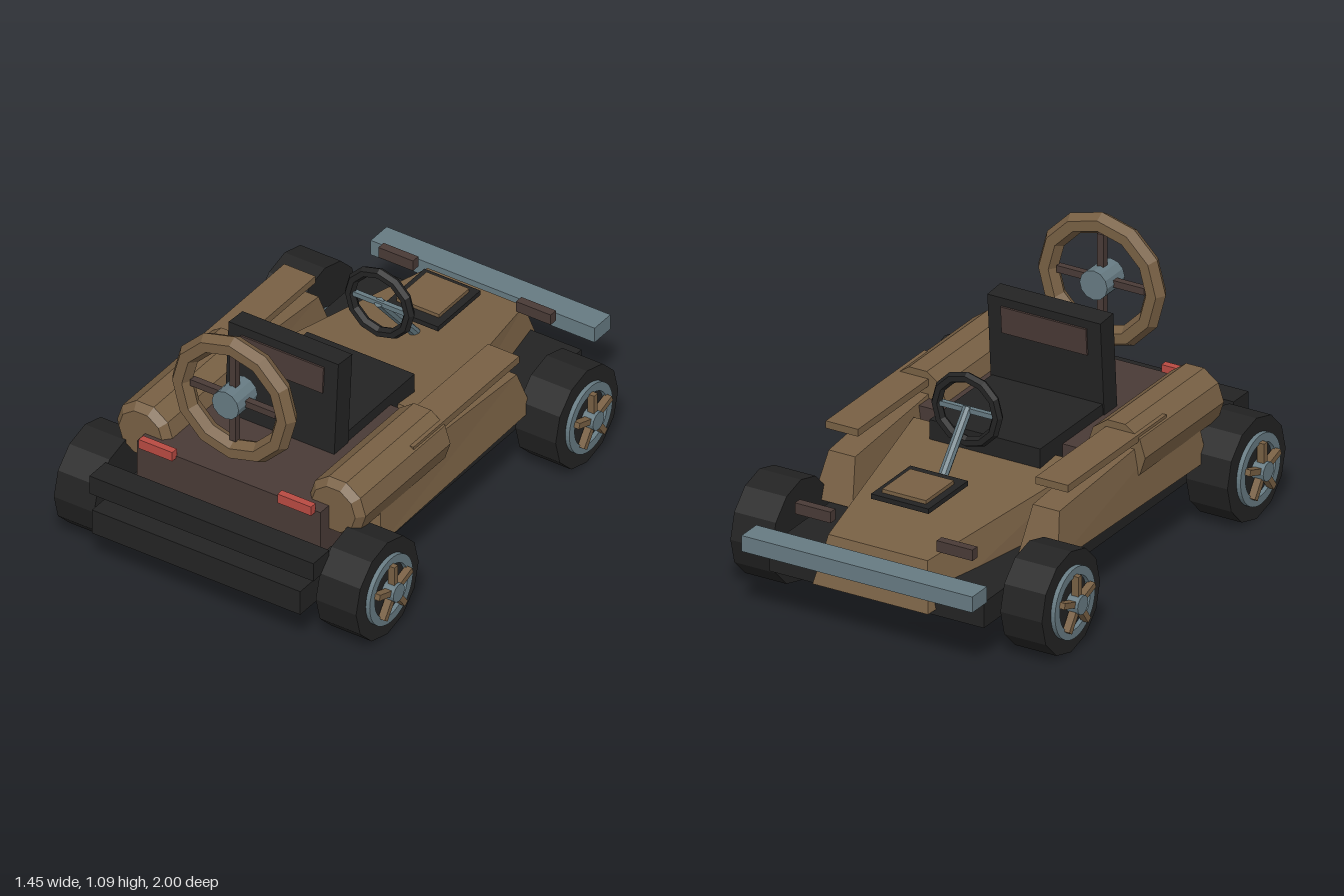
import * as THREE from 'three';

const mat = (name, color) => {
  const m = new THREE.MeshStandardMaterial({ color, flatShading: true });
  m.name = name;
  return m;
};

export function createModel() {
  const black = mat('black', 0x232323), tan = mat('tan', 0x786044), steel = mat('steel', 0x667a82);
  const brown = mat('brown', 0x493a36), red = mat('red', 0xb84a42);
  const kart = new THREE.Group();
  kart.name = 'kart';

  const add = (name, geo, m, parent = kart) => {
    const mesh = new THREE.Mesh(geo, m);
    mesh.name = name;
    parent.add(mesh);
    return mesh;
  };
  // box given by its limits on each axis
  const box = (name, m, x0, x1, y0, y1, z0, z1, parent) => {
    const mesh = add(name, new THREE.BoxGeometry(x1 - x0, y1 - y0, z1 - z0), m, parent);
    mesh.position.set((x0 + x1) / 2, (y0 + y1) / 2, (z0 + z1) / 2);
    return mesh;
  };
  // box whose corners are moved by a rule of their signs
  const hexa = (name, m, rule) => {
    const geo = new THREE.BoxGeometry(2, 2, 2);
    const p = geo.attributes.position;
    for (let i = 0; i < p.count; i++) p.setXYZ(i, ...rule(p.getX(i) > 0, p.getY(i) > 0, p.getZ(i) > 0));
    geo.computeVertexNormals();
    return add(name, geo, m);
  };
  const alongX = (r, len, n) => new THREE.CylinderGeometry(r, r, len, n).rotateZ(Math.PI / 2);

  // chassis, deck and bumpers
  box('chassis', black, -0.465, 0.465, 0.16, 0.265, -0.86, 1);
  box('rearDeck', brown, -0.41, 0.41, 0.28, 0.475, 0.07, 0.785);
  box('rearBumper', black, -0.5, 0.5, 0.305, 0.385, 0.86, 0.965);
  box('frontBumper', steel, -0.5, 0.5, 0.29, 0.355, -1, -0.895);

  // tapered hood
  hexa('hood', tan, (right, top, back) => {
    const w = back ? (top ? 0.375 : 0.41) : (top ? 0.215 : 0.25);
    return [right ? w : -w,
      top ? (back ? 0.45 : 0.37) : (back ? 0.265 : 0.18),
      back ? (top ? 0.02 : 0.07) : (top ? -0.85 : -0.905)];
  });
  box('hoodFrame', black, -0.125, 0.125, 0.475, 0.495, -0.695, -0.415);
  box('hoodPanel', tan, -0.095, 0.095, 0.495, 0.51, -0.665, -0.465);

  // side bodies, rails, pods and lamps
  for (const s of [1, -1]) {
    hexa('sideBody', tan, (right, top, back) => {
      const outer = (s > 0) === right;
      const x = outer ? (back ? (top ? 0.515 : 0.55) : (top ? 0.5 : 0.53)) : (top ? 0.385 : 0.36);
      return [s * x,
        top ? (back ? 0.525 : 0.45) : 0.27,
        back ? (top ? 0.55 : 0.59) : (top ? -0.38 : -0.44)];
    });
    const side = (name, m, x0, x1, ...rest) =>
      box(name, m, s > 0 ? x0 : -x1, s > 0 ? x1 : -x0, ...rest);
    side('sideRail', tan, 0.385, 0.525, 0.525, 0.555, -0.36, 0.34);
    side('frontLamp', brown, 0.23, 0.385, 0.395, 0.44, -0.81, -0.775);
    side('tailLamp', red, 0.235, 0.385, 0.465, 0.505, 0.78, 0.81);

    const profile = [[0, -0.295], [0.125, -0.295], [0.125, 0.265], [0.098, 0.295], [0, 0.295]]
      .map(([r, y]) => new THREE.Vector2(r, y));
    const pod = add('sidePod', new THREE.LatheGeometry(profile, 10, Math.PI / 10).rotateX(Math.PI / 2), tan);
    pod.position.set(s * 0.43, 0.465, 0.435);
  }

  // seat with a slightly leaning back
  box('seatCushion', black, -0.24, 0.24, 0.4, 0.52, -0.09, 0.4);
  const back = new THREE.Group();
  back.name = 'seatBack';
  back.position.set(0, 0.45, 0.405);
  back.rotation.x = -0.07;
  kart.add(back);
  box('backrest', black, -0.245, 0.245, 0, 0.415, -0.046, 0.046, back);
  box('backrestPanel', brown, -0.185, 0.185, 0.27, 0.38, -0.054, 0.054, back);

  // steering wheel and column
  const steering = add('steeringWheel', new THREE.TorusGeometry(0.132, 0.022, 6, 12), black);
  steering.rotation.z = Math.PI / 2;
  steering.position.set(0, 0.675, -0.215);
  const a = new THREE.Vector3(0, 0.4, -0.45), b = new THREE.Vector3(0, 0.68, -0.21);
  const column = add('steeringColumn', new THREE.CylinderGeometry(0.02, 0.02, a.distanceTo(b), 8), steel);
  column.position.copy(a).add(b).multiplyScalar(0.5);
  column.quaternion.setFromUnitVectors(new THREE.Vector3(0, 1, 0), b.clone().sub(a).normalize());
  box('steeringBar', steel, -0.12, 0.12, 0.665, 0.685, -0.225, -0.205);

  // upright ring at the rear
  const ring = new THREE.Group();
  ring.name = 'rearRing';
  ring.position.set(0, 0.812, 0.745);
  kart.add(ring);
  add('ringRim', new THREE.TorusGeometry(0.233, 0.0425, 6, 12), tan, ring);
  box('ringSpokeUpright', brown, -0.014, 0.014, -0.19, 0.19, -0.014, 0.014, ring);
  box('ringSpokeLevel', brown, -0.19, 0.19, -0.014, 0.014, -0.014, 0.014, ring);
  add('ringHub', new THREE.CylinderGeometry(0.06, 0.06, 0.125, 12).rotateX(Math.PI / 2), steel, ring);

  // axles and wheels
  for (const z of [-0.585, 0.735]) {
    add('axle', alongX(0.026, 1.3, 8), steel).position.set(0, 0.21, z);
    for (const s of [1, -1]) {
      const wheel = new THREE.Group();
      wheel.name = 'wheel';
      wheel.position.set(s * 0.585, 0.207, z);
      wheel.rotation.y = s > 0 ? 0 : Math.PI;
      kart.add(wheel);
      add('tire', alongX(0.207, 0.18, 12), black, wheel);
      const hoop = new THREE.Shape().absarc(0, 0, 0.143, 0, Math.PI * 2);
      hoop.holes.push(new THREE.Path().absarc(0, 0, 0.108, 0, Math.PI * 2, true));
      const rim = new THREE.ExtrudeGeometry(hoop, { depth: 0.02, bevelEnabled: false, curveSegments: 24 });
      add('rim', rim.rotateY(Math.PI / 2), steel, wheel).position.x = 0.088;
      for (let i = 0; i < 5; i++) {
        const spoke = new THREE.BoxGeometry(0.03, 0.1, 0.024).translate(0.115, 0.065, 0);
        add('spoke', spoke, tan, wheel).rotation.x = i * Math.PI * 2 / 5;
      }
      add('hub', alongX(0.038, 0.06, 12), steel, wheel).position.x = 0.112;
    }
  }
  return kart;
}
